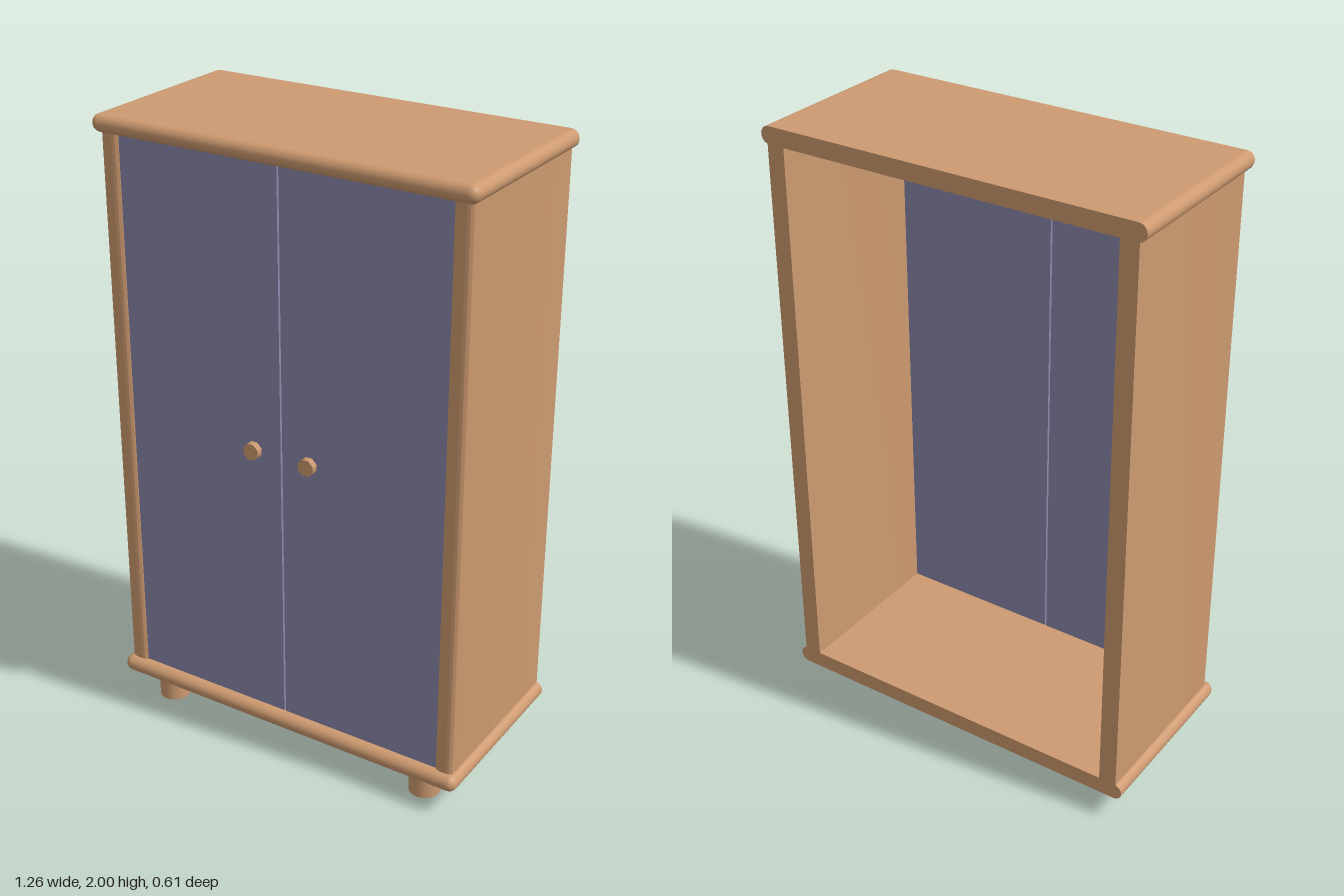
import * as THREE from 'three';
import { RoundedBoxGeometry } from 'three/addons/geometries/RoundedBoxGeometry.js';
import { toCreasedNormals } from 'three/addons/utils/BufferGeometryUtils.js';

const wood = new THREE.MeshStandardMaterial({ color: 0xcd9a70 });
const paint = new THREE.MeshStandardMaterial({ color: 0x8c88ab });
const BACK = -0.305, FRONT = 0.305;

// Board with rounded front and side edges, cut flat at the back
function slabGeometry(width, height) {
  const r = height / 2;
  const geo = new RoundedBoxGeometry(width, height, FRONT - BACK + r, 6, r);
  geo.translate(0, 0, (FRONT + BACK - r) / 2);
  const p = geo.attributes.position, n = geo.attributes.normal;
  for (let i = 0; i < p.count; i += 3) {
    let flat = 0;
    for (let k = i; k < i + 3; k++) {
      if (p.getZ(k) < BACK + 0.01) { p.setZ(k, BACK); flat++; }
    }
    if (flat === 3) for (let k = i; k < i + 3; k++) n.setXYZ(k, 0, 0, -1);
  }
  return geo;
}

// Side wall: plan outline with a gently bowed front edge, extruded upward
function sideGeometry(thickness, height) {
  const h = thickness / 2, bow = 0.01, z = 0.28 - bow;
  const s = new THREE.Shape();
  s.moveTo(-h, -BACK);
  s.lineTo(h, -BACK);
  s.lineTo(h, -z);
  s.absellipse(0, -z, h, bow, 0, Math.PI, true);
  s.lineTo(-h, -BACK);
  const geo = new THREE.ExtrudeGeometry(s, { depth: height, bevelEnabled: false, curveSegments: 12 });
  geo.rotateX(-Math.PI / 2);
  return toCreasedNormals(geo, 0.7);
}

export function createModel() {
  const group = new THREE.Group();
  const add = (name, geo, mat, x, y, z) => {
    const mesh = new THREE.Mesh(geo, mat);
    mesh.name = name;
    mesh.position.set(x, y, z);
    group.add(mesh);
    return mesh;
  };

  // Top and bottom boards
  add('topBoard', slabGeometry(1.26, 0.055), wood, 0, 1.9725, 0);
  add('bottomBoard', slabGeometry(1.26, 0.055), wood, 0, 0.1125, 0);

  for (const [side, s] of [['left', 1], ['right', -1]]) {
    add(side + 'Wall', sideGeometry(0.058, 1.815), wood, s * 0.58, 0.135, 0);
    // Doors meet at a narrow gap in the middle
    add(side + 'Door', new THREE.BoxGeometry(0.549, 1.81, 0.02), paint, s * 0.2775, 1.0425, 0.26);
    const knob = add(side + 'Knob', new THREE.CylinderGeometry(0.028, 0.028, 0.024, 8), wood, s * 0.097, 1.05, 0.279);
    knob.rotation.set(Math.PI / 2, Math.PI / 8, 0);
    // Feet under the front edge only
    add(side + 'Foot', new THREE.CylinderGeometry(0.05, 0.05, 0.095, 24), wood, s * 0.485, 0.0475, 0.217);
  }
  return group;
}
